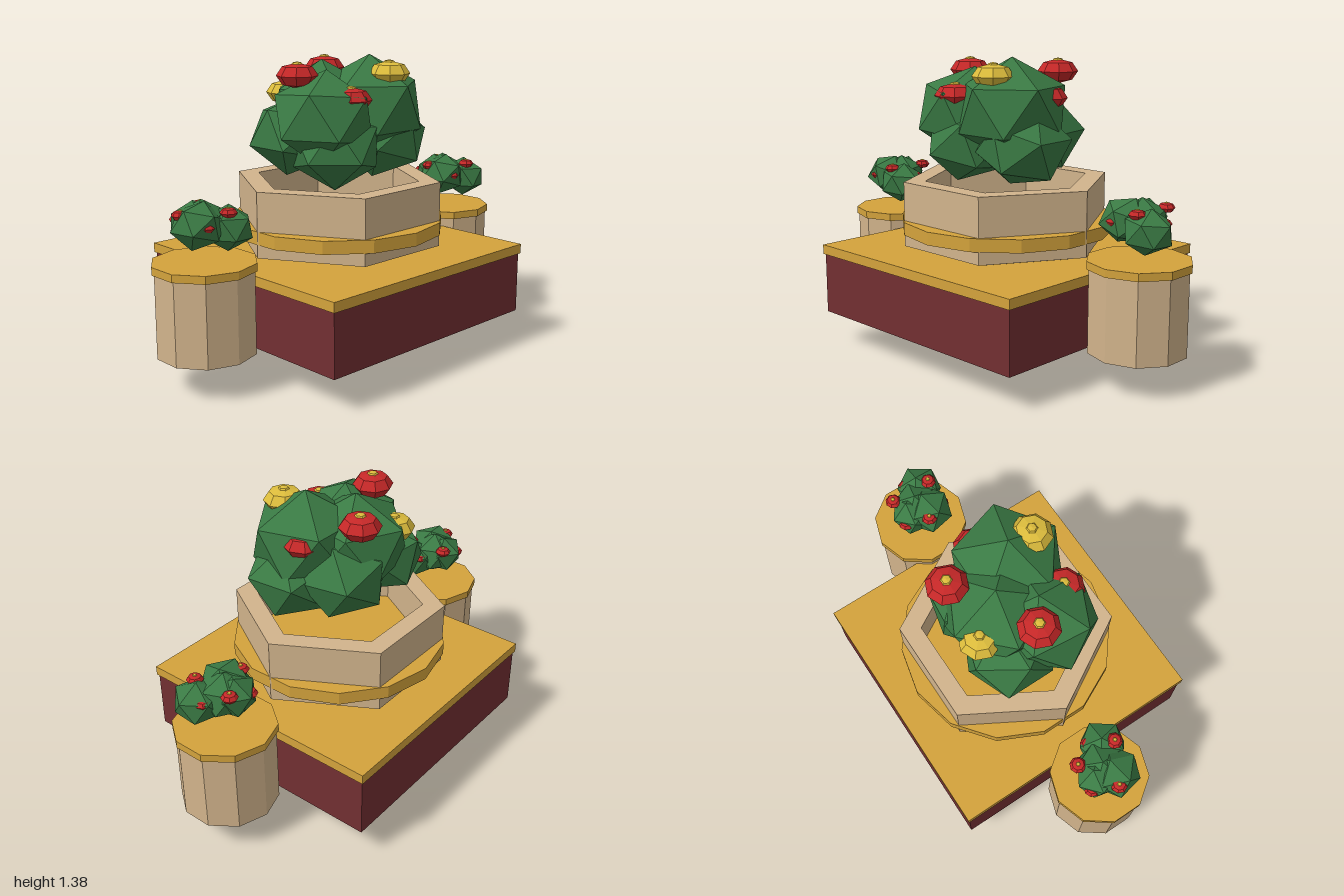
import * as THREE from 'three';

const mat = (name, color) => {
  const m = new THREE.MeshStandardMaterial({ color, flatShading: true });
  m.name = name;
  return m;
};

export function createModel() {
  const stone = mat('sandstone', 0xd2b48c);
  const gold = mat('gold trim', 0xd4a33c);
  const wine = mat('wine red', 0x722f32);
  const leaf = mat('leaf green', 0x3a7a44);
  const red = mat('petal red', 0xc62828);
  const yellow = mat('petal yellow', 0xdcbc3c);
  const root = new THREE.Group();
  root.name = 'planter';

  const add = (parent, name, geo, material, x = 0, y = 0, z = 0) => {
    const m = new THREE.Mesh(geo, material);
    m.name = name;
    m.position.set(x, y, z);
    parent.add(m);
    return m;
  };
  // Upright prism between two heights
  const prism = (parent, name, material, rBottom, rTop, y0, y1, sides, turn = 0) =>
    add(parent, name, new THREE.CylinderGeometry(rTop, rBottom, y1 - y0, sides).rotateY(turn),
      material, 0, (y0 + y1) / 2, 0);

  // Hexagonal pedestal running up through the square plinth
  prism(root, 'pedestal', stone, 0.30, 0.395, 0, 0.51, 6, Math.PI / 6);
  add(root, 'plinth', new THREE.BoxGeometry(1.22, 0.285, 1.22), wine, 0, 0.2975, 0);
  add(root, 'plinthTrim', new THREE.BoxGeometry(1.236, 0.045, 1.236), gold, 0, 0.4625, 0);

  // Hollow hexagonal bowl
  const hexagon = (r, Type) => {
    const s = new Type();
    for (let i = 0; i < 6; i++) {
      const a = i * Math.PI / 3;
      s[i ? 'lineTo' : 'moveTo'](r * Math.cos(a), r * Math.sin(a));
    }
    s.closePath();
    return s;
  };
  const bowlShape = hexagon(0.49, THREE.Shape);
  bowlShape.holes.push(hexagon(0.39, THREE.Path));
  add(root, 'bowl', new THREE.ExtrudeGeometry(bowlShape, { depth: 0.3, bevelEnabled: false })
    .rotateX(-Math.PI / 2), stone, 0, 0.51, 0);
  // Disc that forms both the outer band and the bowl floor
  prism(root, 'bowlBand', gold, 0.5, 0.5, 0.57, 0.63, 14);

  // Foliage clump: [x, y, z, radius, turn, tilt]
  const foliage = (parent, clumps) => clumps.forEach(([x, y, z, r, turn, tilt]) => {
    const g = new THREE.IcosahedronGeometry(r, 0).rotateZ(tilt).rotateY(turn).scale(1, 0.87, 1);
    add(parent, 'foliage', g, leaf, x, y, z);
  });

  // Six blossoms in a ring, alternating low and high
  const blossoms = (parent, ring, r, yLow, yHigh, petals) => {
    for (let i = 0; i < 6; i++) {
      const a = i * Math.PI / 3;
      const flower = new THREE.Group();
      flower.name = 'flower';
      flower.position.set(ring * Math.cos(a), i % 2 ? yHigh : yLow, ring * Math.sin(a));
      add(flower, 'petals', new THREE.SphereGeometry(r, 8, 4).scale(1, 0.6, 1), petals(i));
      add(flower, 'flowerCentre', new THREE.SphereGeometry(r * 0.3, 6, 4).scale(1, 0.5, 1),
        yellow, 0, r * 0.5, 0);
      parent.add(flower);
    }
  };

  // Large central bush
  const bush = new THREE.Group();
  bush.name = 'centralBush';
  root.add(bush);
  foliage(bush, [
    [0.12, 1.145, 0.09, 0.27, 0.3, 0.554],
    [-0.17, 1.11, 0.09, 0.25, 0.5, 0.4],
    [0.20, 0.99, 0.10, 0.22, 0.1, 0.2],
    [-0.13, 0.98, 0.12, 0.22, 0.8, 0.3],
    [-0.03, 1.13, -0.07, 0.26, 1.1, 0.554],
    [0.10, 1.02, -0.10, 0.22, 0.2, 0.1],
    [-0.17, 1.02, -0.10, 0.22, 0.0, 0.3],
  ]);
  blossoms(bush, 0.245, 0.095, 1.2, 1.3, i => (i % 3 === 1 ? yellow : red));

  // Side posts with caps and small bushes
  for (const [side, x] of [['left', 0.781], ['right', -0.781]]) {
    const post = new THREE.Group();
    post.name = side + 'Post';
    post.position.x = x;
    root.add(post);
    prism(post, 'column', stone, 0.22, 0.22, 0.155, 0.525, 10);
    prism(post, 'columnCap', gold, 0.23, 0.23, 0.525, 0.56, 10);
    foliage(post, [
      [0.0, 0.72, -0.01, 0.12, 0.4, 0.554],
      [-0.05, 0.725, 0.03, 0.12, 0.2, 0.2],
      [0.085, 0.70, 0.06, 0.115, 0.6, 0.45],
      [-0.02, 0.72, -0.04, 0.11, 1.0, 0.3],
    ]);
    blossoms(post, 0.115, 0.038, 0.73, 0.775, () => red);
  }
  return root;
}
